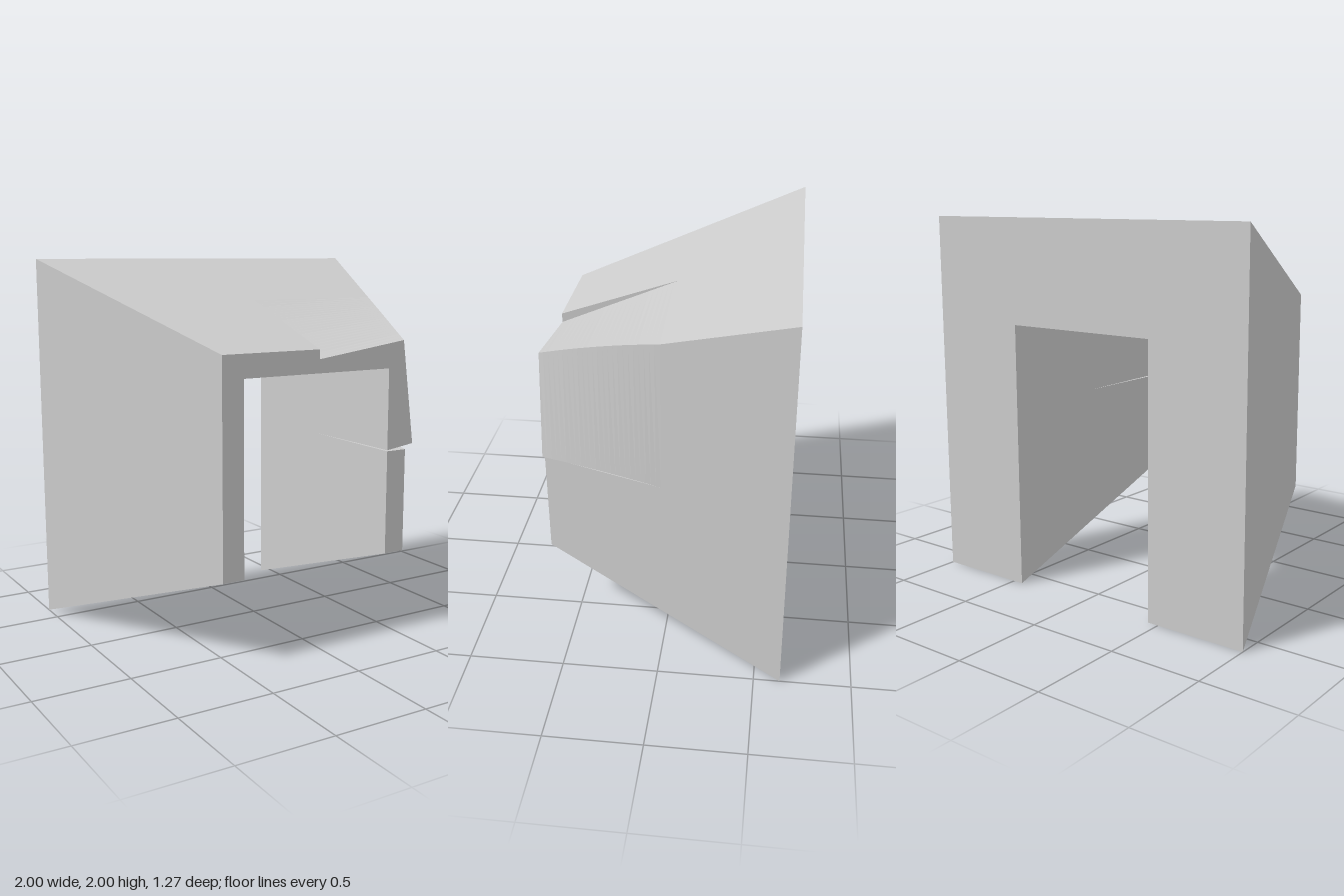
import * as THREE from 'three';

const Z = 0.635;          // half depth
const IN = 0.44;          // half width of the passage
const LINTEL = 1.44;      // passage ceiling
const PIVOT = 0.375, TWIST = 0.135;

// half size of the tapering block at depth z
const half = z => 0.56 + 0.44 * (Z - z) / (2 * Z);

// Twisted outline of the upper front quarter at depth z
function twisted(z) {
  const h = half(z), a = TWIST * Math.max(0, z) / Z;
  const c = Math.cos(a), s = Math.sin(a), t = Math.tan(a);
  const spin = (x, y) => [
    PIVOT + (x - PIVOT) * c - (y - PIVOT) * s,
    1 + PIVOT + (x - PIVOT) * s + (y - PIVOT) * c];
  const corner = spin(h, h), low = spin(h, 0);
  return {
    corner, low,
    topMid: [0, corner[1] - corner[0] * t],
    lowIn: [IN, low[1] - (low[0] - IN) * t],
  };
}

// Cross-sections, counter-clockwise seen from the front
const fullArch = z => {
  const h = half(z);
  return [[-h, 1 - h], [-IN, 1 - h], [-IN, LINTEL], [IN, LINTEL],
    [IN, 1 - h], [h, 1 - h], [h, 1 + h], [-h, 1 + h]];
};
const leftArch = z => {
  const h = half(z);
  return [[0, LINTEL], twisted(z).topMid, [0, 1 + h], [-h, 1 + h],
    [-h, 1 - h], [-IN, 1 - h], [-IN, LINTEL]];
};
const rightLeg = z => {
  const h = half(z);
  return [[IN, 1 - h], [h, 1 - h], [h, 1], [IN, 1]];
};
const twistedQuarter = z => {
  const q = twisted(z);
  return [q.topMid, [0, LINTEL], [IN, LINTEL], q.lowIn, q.low, q.corner];
};

// Joins a cross-section along z; openEdge leaves out an inner joint wall
function loft(name, section, z0, z1, steps, { back = false, front = false, openEdge = -1 } = {}) {
  const pos = [];
  const tri = (...pts) => pts.forEach(p => pos.push(...p));
  const ring = z => section(z).map(([x, y]) => [x, y, z]);
  for (let k = 0; k < steps; k++) {
    const A = ring(z0 + (z1 - z0) * k / steps);
    const B = ring(z0 + (z1 - z0) * (k + 1) / steps);
    for (let i = 0; i < A.length; i++) {
      if (i === openEdge) continue;
      const j = (i + 1) % A.length;
      tri(A[i], A[j], B[j]);
      tri(A[i], B[j], B[i]);
    }
  }
  const cap = (z, flip) => {
    const R = ring(z);
    const contour = R.map(p => new THREE.Vector2(p[0], p[1]));
    for (const [a, b, c] of THREE.ShapeUtils.triangulateShape(contour, [])) {
      if (flip) tri(R[a], R[c], R[b]);
      else tri(R[a], R[b], R[c]);
    }
  };
  if (back) cap(z0, true);
  if (front) cap(z1, false);
  const geo = new THREE.BufferGeometry();
  geo.setAttribute('position', new THREE.Float32BufferAttribute(pos, 3));
  geo.computeVertexNormals();
  const mesh = new THREE.Mesh(geo, new THREE.MeshStandardMaterial({ color: 0xcccccc }));
  mesh.name = name;
  return mesh;
}

export function createModel() {
  const group = new THREE.Group();
  group.name = 'taperedArch';
  group.add(
    loft('backArch', fullArch, -Z, 0, 1, { back: true }),
    loft('frontLeftArch', leftArch, 0, Z, 24, { front: true, openEdge: 0 }),
    loft('frontRightLeg', rightLeg, 0, Z, 1, { front: true }),
    loft('twistedQuarter', twistedQuarter, 0, Z, 24, { front: true, openEdge: 0 }),
  );
  return group;
}
